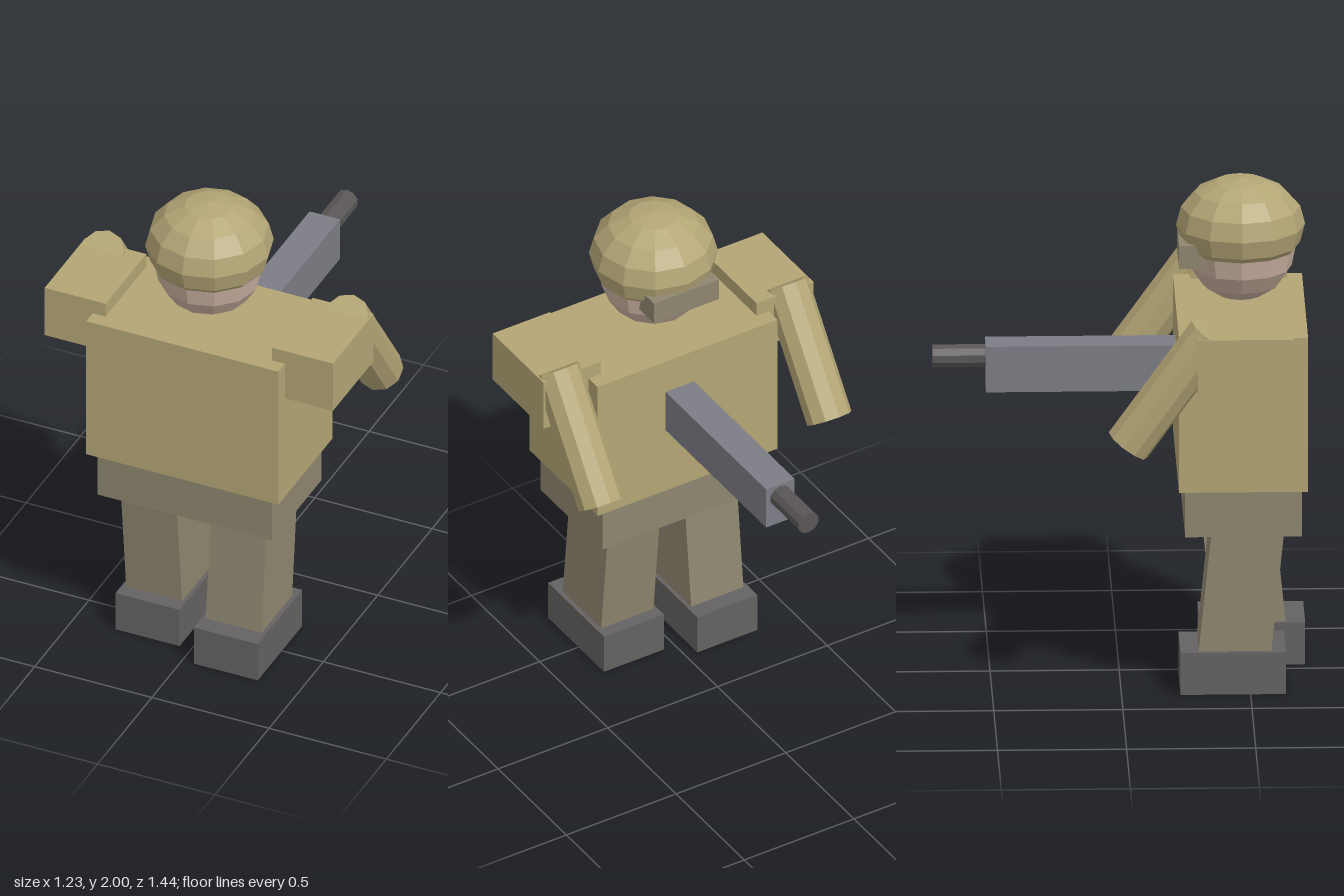
import * as THREE from 'three';

export function createModel() {
  const model = new THREE.Group();
  const paint = (color) => new THREE.MeshStandardMaterial({ color, flatShading: true });
  const khaki = paint(0xb3a575);
  const trousers = paint(0x8e866f);
  const leather = paint(0x646261);
  const metal = paint(0x7c7c85);
  const darkMetal = paint(0x5a5656);
  const skin = paint(0xc9b0a0);

  const add = (name, geometry, material, x, y, z, tilt = 0) => {
    const mesh = new THREE.Mesh(geometry, material);
    mesh.name = name;
    mesh.position.set(x, y, z);
    mesh.rotation.x = tilt;
    model.add(mesh);
    return mesh;
  };
  // box given by its min and max on each axis
  const box = (name, material, [x0, x1], [y0, y1], [z0, z1]) =>
    add(name, new THREE.BoxGeometry(x1 - x0, y1 - y0, z1 - z0), material,
      (x0 + x1) / 2, (y0 + y1) / 2, (z0 + z1) / 2);

  // body
  box('torso', khaki, [-0.41, 0.41], [0.85, 1.475], [0.22, 0.72]);
  box('hips', trousers, [-0.373, 0.373], [0.657, 0.85], [0.245, 0.697]);

  // head with helmet and goggles
  add('head', new THREE.SphereGeometry(0.215, 12, 8), skin, 0, 1.725, 0.47);
  add('helmet', new THREE.SphereGeometry(0.25, 12, 8), khaki, 0, 1.81, 0.47).scale.y = 0.76;
  box('goggles', trousers, [-0.148, 0.148], [1.675, 1.77], [0.228, 0.345]);

  // limbs, with the legs in mid stride
  for (const side of [1, -1]) {
    const label = side > 0 ? 'left' : 'right';
    const span = (a, b) => (side > 0 ? [a, b] : [-b, -a]);
    box(label + 'UpperArm', khaki, span(0.355, 0.615), [1.313, 1.535], [0.285, 0.66]);
    add(label + 'Forearm', new THREE.CylinderGeometry(0.091, 0.091, 0.553, 10), khaki,
      side * 0.521, 1.307, 0.179, 0.619);
    add(label + 'Leg', new THREE.BoxGeometry(0.238, 0.62, 0.28), trousers,
      side * 0.185, 0.415, side > 0 ? 0.48 : 0.465, side * -0.102);
    box(label + 'Boot', leather, span(0.05, 0.323), [0, 0.17],
      side > 0 ? [0.313, 0.722] : [0.228, 0.637]);
  }

  // weapon held in front of the chest
  box('gunBody', metal, [-0.03, 0.1], [1.143, 1.328], [-0.517, 0.24]);
  add('gunBarrel', new THREE.CylinderGeometry(0.047, 0.047, 0.25, 10), darkMetal,
    0.035, 1.272, -0.598, Math.PI / 2);

  return model;
}
